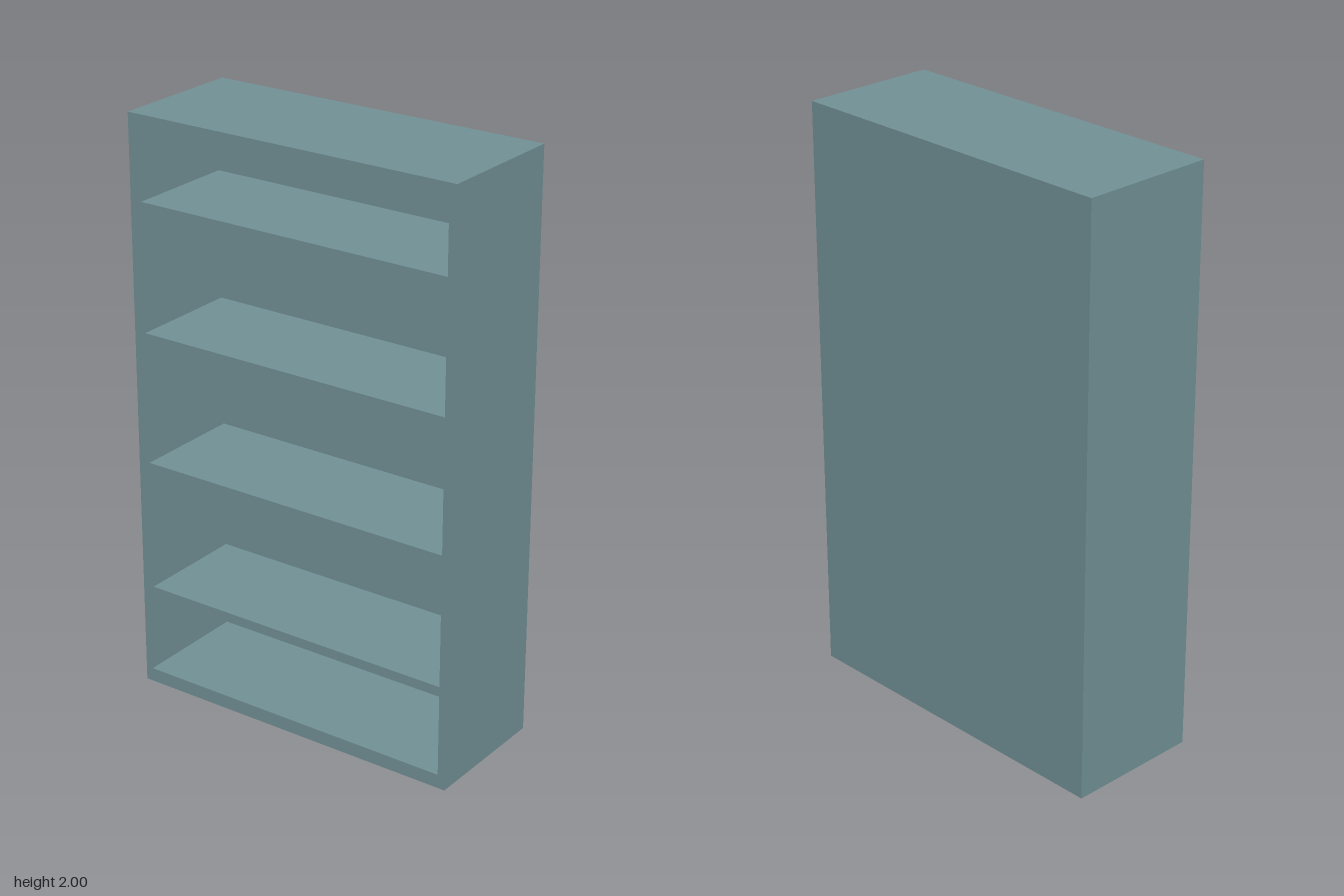
import * as THREE from 'three';

const W = 0.47, H = 2, D = 1.212;      // depth along x, height, width along z
const SIDE = 0.026, SLAB = 0.048, BACK = 0.058;
const SHELF = 0.034, RECESS = 0.018;

export function createModel() {
  const group = new THREE.Group();
  group.name = 'bookcase';
  const material = new THREE.MeshStandardMaterial({ color: 0x729196 });

  // Box given by its minimum and maximum corners
  const panel = (name, [x0, y0, z0], [x1, y1, z1]) => {
    const mesh = new THREE.Mesh(new THREE.BoxGeometry(x1 - x0, y1 - y0, z1 - z0), material);
    mesh.position.set((x0 + x1) / 2, (y0 + y1) / 2, (z0 + z1) / 2);
    mesh.name = name;
    group.add(mesh);
  };

  // Carcass outline, extruded from the open face (-x) back to the rear panel
  const innerX = W / 2 - BACK;
  const outline = new THREE.Shape([
    new THREE.Vector2(-D / 2, 0), new THREE.Vector2(D / 2, 0),
    new THREE.Vector2(D / 2, H), new THREE.Vector2(-D / 2, H),
  ]);
  const iz = D / 2 - SIDE;
  outline.holes.push(new THREE.Path([
    new THREE.Vector2(-iz, SLAB), new THREE.Vector2(-iz, H - SLAB),
    new THREE.Vector2(iz, H - SLAB), new THREE.Vector2(iz, SLAB),
  ]));
  const frame = new THREE.Mesh(
    new THREE.ExtrudeGeometry(outline, { depth: W - BACK, bevelEnabled: false }), material);
  frame.rotation.y = -Math.PI / 2;
  frame.position.x = innerX;
  frame.name = 'frame';
  group.add(frame);

  // Solid rear panel
  panel('backPanel', [innerX, 0, -D / 2], [W / 2, H, D / 2]);

  // Four shelves, set back slightly from the open face
  [0.352, 0.809, 1.266, 1.708].forEach((top, i) =>
    panel(`shelf${i + 1}`, [-W / 2 + RECESS, top - SHELF, -iz], [innerX, top, iz]));

  return group;
}
